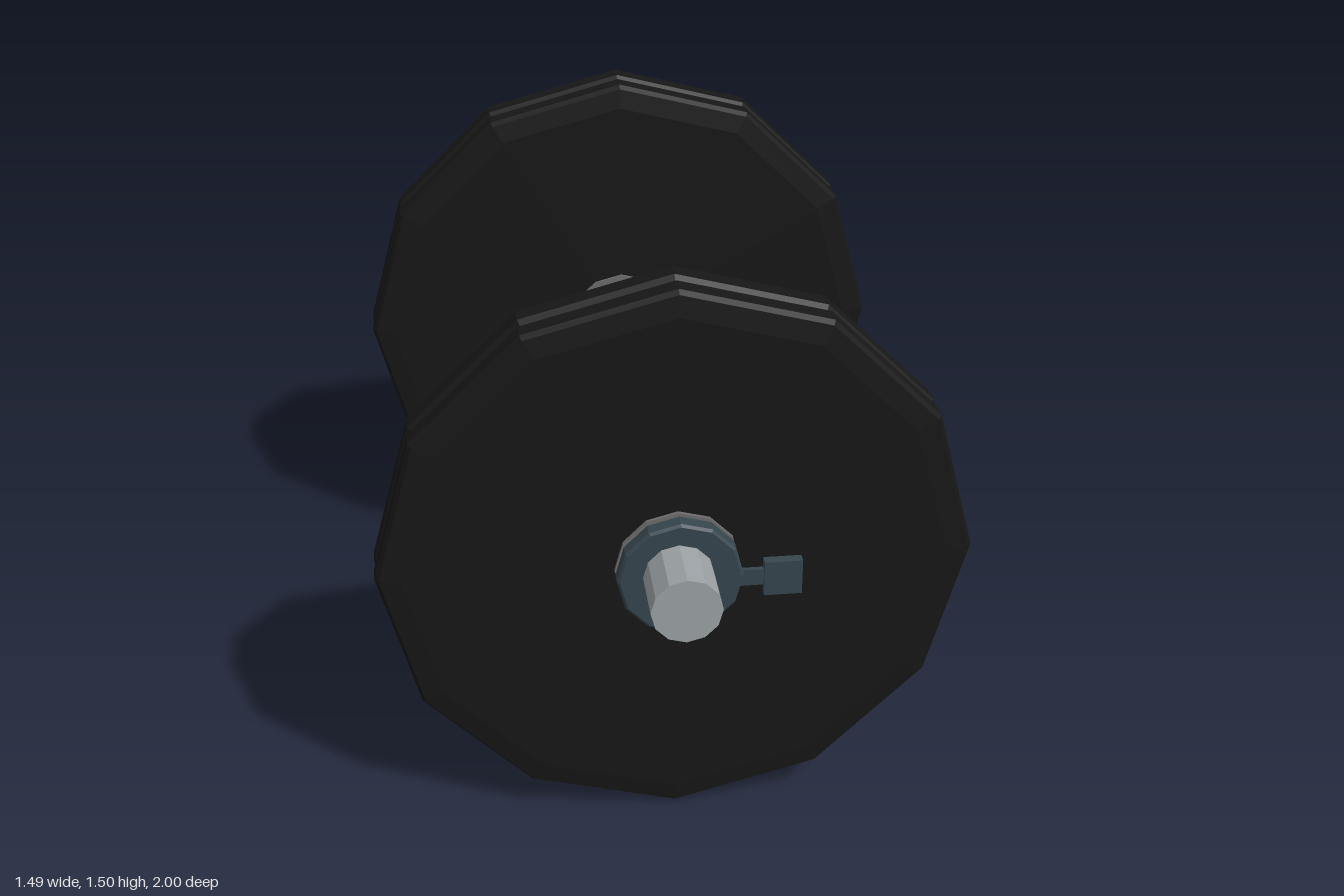
import * as THREE from 'three';

const SIDES = 12;
const paint = (color) => new THREE.MeshStandardMaterial({ color, flatShading: true });
const black = paint(0x171717);
const steel = paint(0x9ba1a4);
const hubGrey = paint(0x6c6c6c);
const slate = paint(0x36454d);
const ringDark = paint(0x2c2f31);

function add(parent, name, geometry, material, x = 0, y = 0, z = 0) {
  const mesh = new THREE.Mesh(geometry, material);
  mesh.name = name;
  mesh.position.set(x, y, z);
  parent.add(mesh);
  return mesh;
}

// Solid turned around the z axis from [radius, z] pairs listed from low z to high z
function turned(profile) {
  const points = profile.map(([r, z]) => new THREE.Vector2(r, z));
  return new THREE.LatheGeometry(points, SIDES).rotateX(Math.PI / 2);
}

const disc = (radius, z0, z1) => turned([[0, z0], [radius, z0], [radius, z1], [0, z1]]);

// One weighted end: two bevelled discs, hub and locking collar, facing +z
function createEnd(name) {
  const end = new THREE.Group();
  end.name = name;

  // Pair of discs with a narrow groove between them
  const plate = turned([
    [0, 0.606], [0.68, 0.606], [0.735, 0.615], [0.745, 0.628], [0.745, 0.674],
    [0.732, 0.688], [0.70, 0.692], [0.732, 0.696], [0.745, 0.71],
    [0.745, 0.757], [0.735, 0.77], [0.68, 0.778], [0, 0.778],
  ]);
  add(end, 'plate', plate, black);

  // Hub sleeve showing on both faces of the plate
  add(end, 'hub', disc(0.157, 0.60, 0.787), hubGrey);

  // Locking collar with its lever
  const collar = turned([
    [0, 0.796], [0.15, 0.796], [0.157, 0.803], [0.157, 0.837], [0.15, 0.843], [0, 0.843],
  ]);
  add(end, 'collar', collar, slate);
  add(end, 'leverStem', new THREE.BoxGeometry(0.10, 0.045, 0.012), slate, 0.17, -0.017, 0.82);
  add(end, 'leverPaddle', new THREE.BoxGeometry(0.095, 0.095, 0.026), slate, 0.256, -0.018, 0.822);
  return end;
}

export function createModel() {
  const model = new THREE.Group();
  model.name = 'dumbbell';

  // Handle bar running the full length
  add(model, 'bar', disc(0.088, -1, 1), steel, -0.005, 0.758);

  // Thin grip rings near each end of the handle
  for (const z of [-0.298, -0.247, 0.258, 0.308]) {
    add(model, 'gripRing', disc(0.096, -0.003, 0.003), ringDark, -0.005, 0.758, z);
  }

  // Front end, and the back end turned to face the other way
  const front = createEnd('frontEnd');
  front.position.y = 0.746;
  const back = createEnd('backEnd');
  back.rotation.y = Math.PI;
  back.position.set(0, 0.76, 0.038);
  model.add(front, back);
  return model;
}
